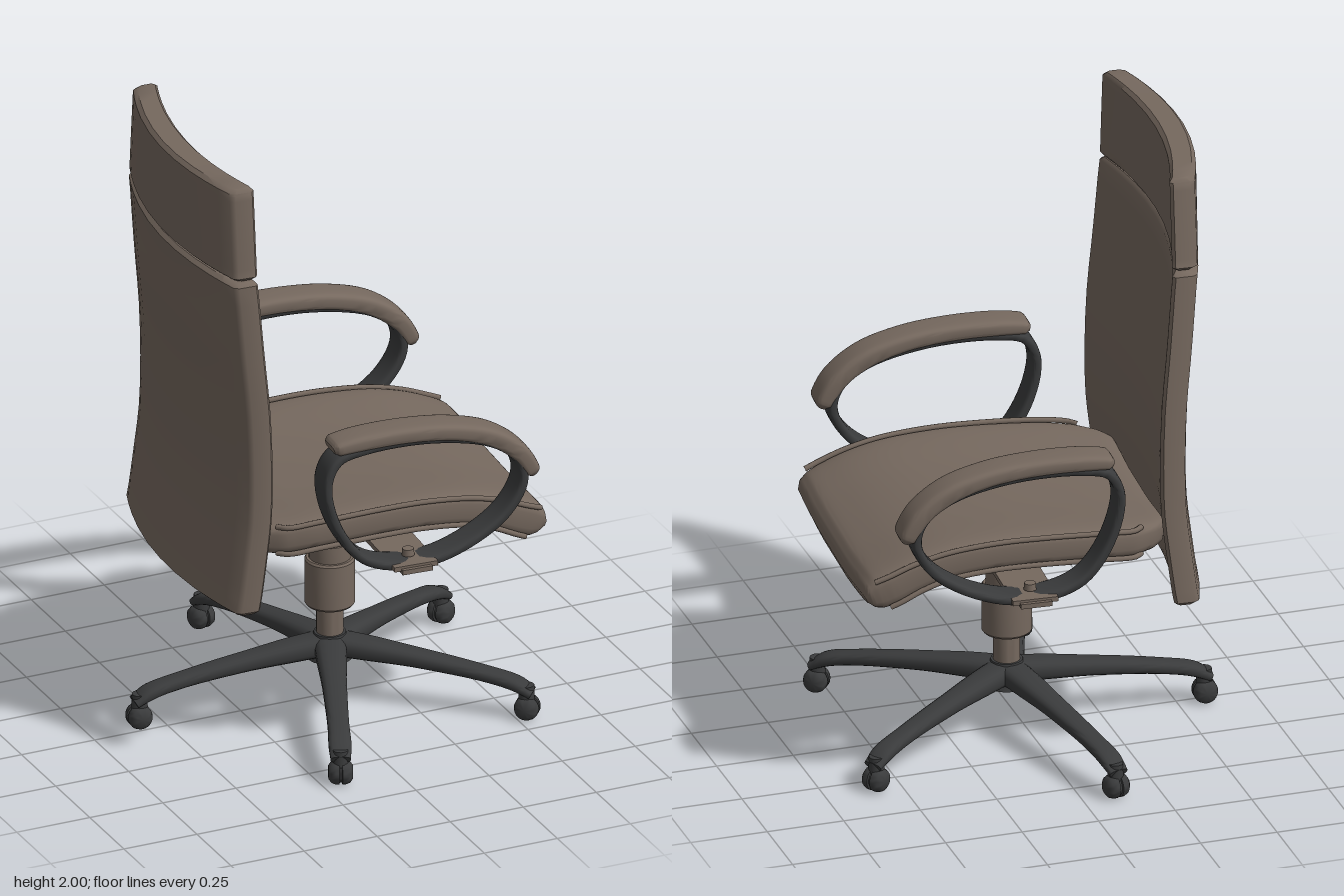
import * as THREE from 'three';
import { toCreasedNormals } from 'three/addons/utils/BufferGeometryUtils.js';

const leather = new THREE.MeshStandardMaterial({ color: 0x75685e });
const plastic = new THREE.MeshStandardMaterial({ color: 0x3a3b3c });

function add(parent, name, geometry, material, x = 0, y = 0, z = 0) {
  const mesh = new THREE.Mesh(geometry, material);
  mesh.name = name;
  mesh.position.set(x, y, z);
  parent.add(mesh);
  return mesh;
}

// Skin a list of rings (arrays of Vector3), with end caps unless closed
function loft(rings, closed = false, crease = 0.7) {
  const n = rings[0].length, pos = [];
  const tri = (...pts) => pts.forEach((p) => pos.push(p.x, p.y, p.z));
  const count = closed ? rings.length : rings.length - 1;
  for (let i = 0; i < count; i++) {
    const a = rings[i], b = rings[(i + 1) % rings.length];
    for (let j = 0; j < n; j++) {
      const k = (j + 1) % n;
      tri(a[j], b[j], b[k]);
      tri(a[j], b[k], a[k]);
    }
  }
  if (!closed) {
    const first = rings[0], last = rings[rings.length - 1];
    // caps are strips between mirrored points, so curved outlines stay covered
    for (let j = 0; j < n / 2 - 1; j++) {
      const m = n - 1 - j;
      tri(first[j], first[j + 1], first[m - 1]);
      tri(first[j], first[m - 1], first[m]);
      tri(last[j], last[m - 1], last[j + 1]);
      tri(last[j], last[m], last[m - 1]);
    }
  }
  const geometry = new THREE.BufferGeometry();
  geometry.setAttribute('position', new THREE.Float32BufferAttribute(pos, 3));
  return toCreasedNormals(geometry, crease);
}

// Sweep a rounded section along stations [x, y, halfThickness, halfWidth] in the xy plane
function sweep(stations, { steps = 40, sides = 24, power = 0.5, closed = false, dish = 0 } = {}) {
  const path = new THREE.CatmullRomCurve3(stations.map((s) => new THREE.Vector3(s[0], s[1], 0)), closed);
  const size = new THREE.CatmullRomCurve3(stations.map((s) => new THREE.Vector3(s[2], s[3], 0)), closed, 'catmullrom', 0.3);
  const soft = (v) => Math.sign(v) * Math.abs(v) ** power;
  const rings = [];
  for (let i = 0; i < (closed ? steps : steps + 1); i++) {
    const p = path.getPoint(i / steps), t = path.getTangent(i / steps), s = size.getPoint(i / steps);
    rings.push(Array.from({ length: sides }, (_, j) => {
      const a = ((j + 0.5) / sides) * Math.PI * 2;
      const u = soft(Math.cos(a)), v = soft(Math.sin(a)) * s.x;
      return new THREE.Vector3(p.x - t.y * v, p.y + t.x * v - dish * (1 - u * u), u * s.y);
    }));
  }
  return loft(rings, closed);
}

// Curved upholstered panel from levels [y, rearX, halfWidth]
function backPanel(levels) {
  const bevel = 0.012, thickness = 0.09, sag = 0.075;
  const us = [1, 0.975, 0.85, 0.7, 0.5, 0.25, 0, -0.25, -0.5, -0.7, -0.85, -0.975, -1];
  const ring = (y, rear, w, inset) => {
    const side = (front) => us.map((u) => {
      const edge = inset + (Math.abs(u) === 1 ? bevel : 0);
      const x = rear + sag * u * u + (front ? thickness - 0.01 * u * u - edge : edge);
      return new THREE.Vector3(x, y, u * (w - inset));
    });
    return [...side(false), ...side(true).reverse()];
  };
  const curve = new THREE.CatmullRomCurve3(levels.map((l) => new THREE.Vector3(l[1], l[0], l[2])));
  const steps = 16, rings = [];
  for (let i = 0; i <= steps; i++) {
    const p = curve.getPoint(i / steps);
    if (i === 0) rings.push(ring(p.y, p.x, p.z, bevel));
    const y = p.y + (i === 0 ? bevel : i === steps ? -bevel : 0);
    rings.push(ring(y, p.x, p.z, 0));
    if (i === steps) rings.push(ring(p.y, p.x, p.z, bevel));
  }
  return loft(rings);
}

function createArm(side) {
  const arm = new THREE.Group();
  arm.name = side > 0 ? 'rightArm' : 'leftArm';
  arm.position.z = side * 0.508;
  const loop = [[-0.222, 1.0], [-0.187, 1.075], [-0.1, 1.1], [0.13, 1.1], [0.33, 1.05], [0.415, 0.98],
    [0.43, 0.9], [0.36, 0.79], [0.18, 0.695], [0.03, 0.682], [-0.1, 0.725], [-0.19, 0.85]];
  add(arm, 'armLoop', sweep(loop.map(([x, y]) => [x, y, 0.016, 0.05]),
    { steps: 72, sides: 16, closed: true }), plastic);
  add(arm, 'armPad', sweep([[-0.2, 1.113, 0.012, 0.04], [-0.185, 1.117, 0.022, 0.052], [-0.1, 1.126, 0.026, 0.056],
    [0.05, 1.127, 0.027, 0.056], [0.2, 1.11, 0.028, 0.056], [0.33, 1.068, 0.03, 0.056], [0.42, 1.0, 0.03, 0.056],
    [0.46, 0.935, 0.028, 0.052], [0.467, 0.918, 0.014, 0.04]]), leather);
  // Tongue that ties the arm loop to the underside of the seat
  add(arm, 'armBracket', new THREE.BoxGeometry(0.145, 0.016, 0.34), leather, 0.06, 0.688, -side * 0.1);
  add(arm, 'armBracketLip', new THREE.BoxGeometry(0.1, 0.016, 0.035), leather, 0.06, 0.68, side * 0.065);
  add(arm, 'armBolt', new THREE.CylinderGeometry(0.018, 0.02, 0.022, 16), leather, 0.06, 0.71, 0);
  return arm;
}

function createLeg(angle) {
  const leg = new THREE.Group();
  leg.name = 'baseLeg';
  leg.rotation.y = -angle;
  add(leg, 'legBeam', sweep([[0, 0.185, 0.035, 0.052], [0.1, 0.18, 0.034, 0.048], [0.3, 0.163, 0.026, 0.038],
    [0.5, 0.137, 0.021, 0.034], [0.6, 0.115, 0.02, 0.036], [0.65, 0.088, 0.014, 0.032]],
  { steps: 24, sides: 16, power: 0.7 }), plastic);
  add(leg, 'casterStem', new THREE.CylinderGeometry(0.024, 0.026, 0.06, 16), plastic, 0.632, 0.085, 0);
  // Rounded caster wheel with a narrow centre groove
  const profile = [[0, -0.039], [0.022, -0.038], [0.034, -0.029], [0.039, -0.016], [0.039, -0.005], [0.033, -0.003],
    [0.033, 0.003], [0.039, 0.005], [0.039, 0.016], [0.034, 0.029], [0.022, 0.038], [0, 0.039]];
  const wheel = new THREE.LatheGeometry(profile.map(([r, y]) => new THREE.Vector2(r, y)), 24);
  add(leg, 'casterWheel', toCreasedNormals(wheel, 0.8), plastic, 0.634, 0.039, 0).rotation.x = Math.PI / 2;
  return leg;
}

export function createModel() {
  const chair = new THREE.Group();
  chair.name = 'officeChair';

  // Five-legged base and gas lift
  const base = new THREE.Group();
  base.name = 'base';
  base.position.set(0.047, 0, 0.017);
  chair.add(base);
  for (let i = 0; i < 5; i++) base.add(createLeg(((184 + 72 * i) * Math.PI) / 180));
  add(base, 'hub', new THREE.CylinderGeometry(0.05, 0.072, 0.085, 32), plastic, 0, 0.18, 0);
  const column = [[0, 0.2], [0.042, 0.2], [0.042, 0.32], [0.074, 0.32], [0.079, 0.327], [0.079, 0.473], [0.074, 0.48],
    [0.066, 0.48], [0.066, 0.535], [0.053, 0.542], [0.053, 0.715], [0, 0.715]];
  add(base, 'gasLift', toCreasedNormals(new THREE.LatheGeometry(
    column.map(([r, y]) => new THREE.Vector2(r, y)), 32), 0.6), leather);

  // Everything above the lift swivels slightly
  const upper = new THREE.Group();
  upper.name = 'upperBody';
  upper.position.copy(base.position);
  upper.rotation.y = -0.06;
  chair.add(upper);

  // Dished seat cushion with a rolled front edge
  add(upper, 'seat', sweep([[-0.43, 0.755, 0.02, 0.28], [-0.415, 0.756, 0.048, 0.33], [-0.37, 0.76, 0.058, 0.375],
    [-0.3, 0.765, 0.063, 0.41], [-0.2, 0.775, 0.065, 0.425], [0, 0.785, 0.068, 0.43], [0.15, 0.785, 0.068, 0.43],
    [0.3, 0.77, 0.07, 0.43], [0.4, 0.742, 0.073, 0.43], [0.47, 0.712, 0.075, 0.43], [0.51, 0.695, 0.072, 0.426],
    [0.54, 0.683, 0.055, 0.42], [0.558, 0.675, 0.02, 0.41]],
  { steps: 60, sides: 48, power: 0.4, dish: 0.03 }), leather);

  for (const side of [-1, 1]) {
    // Piping along both seams of the cushion side, hooked in at the rear
    for (const [name, lift] of [['upperPiping', 0.045], ['lowerPiping', -0.045]]) {
      const line = [[-0.33, 0.763, 0.385], [-0.3, 0.765, 0.412], [-0.2, 0.775, 0.426], [0, 0.785, 0.431],
        [0.15, 0.785, 0.431], [0.3, 0.77, 0.431], [0.4, 0.742, 0.431], [0.47, 0.712, 0.431], [0.51, 0.695, 0.426]];
      const points = line.map(([x, y, z], i) => new THREE.Vector3(
        x + (x > 0.25 ? (x - 0.25) * lift * 2.2 : 0), y + lift, side * z));
      add(upper, name, new THREE.TubeGeometry(new THREE.CatmullRomCurve3(points), 48, 0.009, 8), leather);
    }
    upper.add(createArm(side));
  }

  // Tall curved backrest and separate headrest
  add(upper, 'backrest', backPanel([[0.56, -0.567, 0.472], [0.72, -0.545, 0.472], [0.9, -0.525, 0.47],
    [1.2, -0.527, 0.466], [1.45, -0.548, 0.46], [1.693, -0.567, 0.452]]), leather);
  add(upper, 'headrest', backPanel([[1.698, -0.567, 0.448], [1.85, -0.567, 0.432], [2, -0.567, 0.415]]), leather);
  return chair;
}
